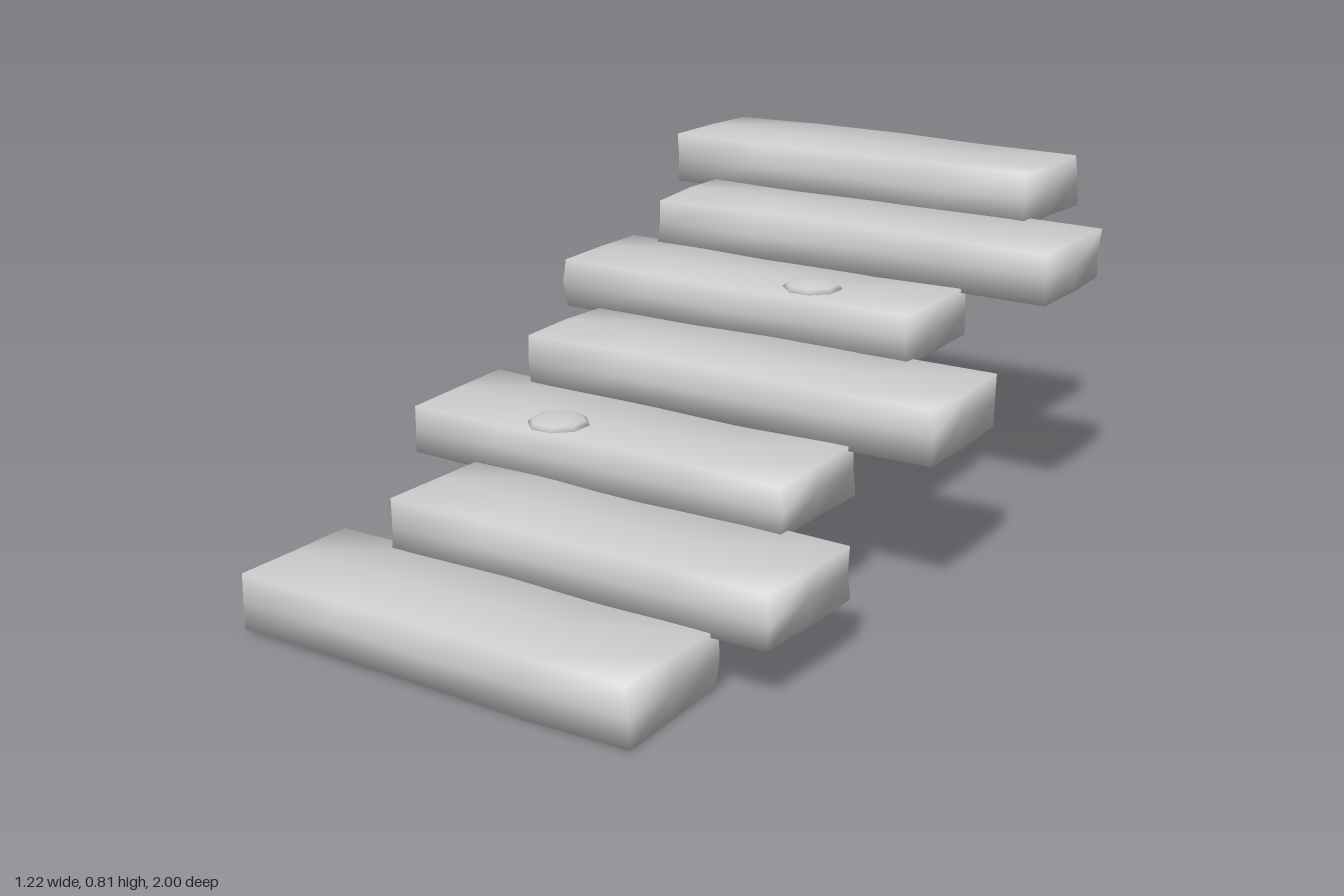
import * as THREE from 'three';
import { mergeVertices } from 'three/addons/utils/BufferGeometryUtils.js';

const material = new THREE.MeshStandardMaterial({ color: 0xcccccc });

// small seeded generator, returns -1..1
function seeded(seed) {
  let s = seed * 7919 + 17;
  return () => {
    s = (s * 16807) % 2147483647;
    return (s / 2147483647) * 2 - 1;
  };
}

// rough hewn slab: a welded box with slightly uneven vertices and soft normals
function makeSlab([x0, x1, y0, y1, z0, z1], seed) {
  let geo = new THREE.BoxGeometry(x1 - x0, y1 - y0, z1 - z0, 4, 2, 2);
  geo.deleteAttribute('normal');
  geo.deleteAttribute('uv');
  geo = mergeVertices(geo, 1e-4);
  const rnd = seeded(seed);
  const p = geo.attributes.position;
  for (let i = 0; i < p.count; i++) {
    p.setXYZ(i, p.getX(i) + rnd() * 0.006, p.getY(i) + rnd() * 0.004, p.getZ(i) + rnd() * 0.004);
  }
  geo.computeVertexNormals();
  const mesh = new THREE.Mesh(geo, material);
  mesh.position.set((x0 + x1) / 2, (y0 + y1) / 2, (z0 + z1) / 2);
  return mesh;
}

export function createModel() {
  const group = new THREE.Group();
  group.name = 'stoneSteps';

  // steps from front to back: x, y and z ranges
  const steps = [
    [-0.59, 0.405, 0.008, 0.14, 0.685, 0.996],
    [-0.42, 0.54, 0.13, 0.252, 0.403, 0.715],
    [-0.592, 0.398, 0.242, 0.358, 0.124, 0.434],
    [-0.475, 0.595, 0.352, 0.477, -0.157, 0.15],
    [-0.576, 0.385, 0.466, 0.586, -0.435, -0.131],
    [-0.483, 0.601, 0.578, 0.7, -0.713, -0.408],
    [-0.604, 0.414, 0.684, 0.814, -0.996, -0.684],
  ];
  steps.forEach((s, i) => {
    const slab = makeSlab(s, i + 1);
    slab.name = `step${i + 1}`;
    group.add(slab);
  });

  // flattened pebbles resting on two of the steps
  const pebbles = [[-0.232, 0.359, 0.358], [0.078, 0.586, -0.234]];
  pebbles.forEach(([x, y, z], i) => {
    const pebble = new THREE.Mesh(new THREE.SphereGeometry(0.072, 8, 6), material);
    pebble.scale.y = 0.26;
    pebble.rotation.y = Math.PI / 8;
    pebble.position.set(x, y, z);
    pebble.name = `pebble${i + 1}`;
    group.add(pebble);
  });

  return group;
}
